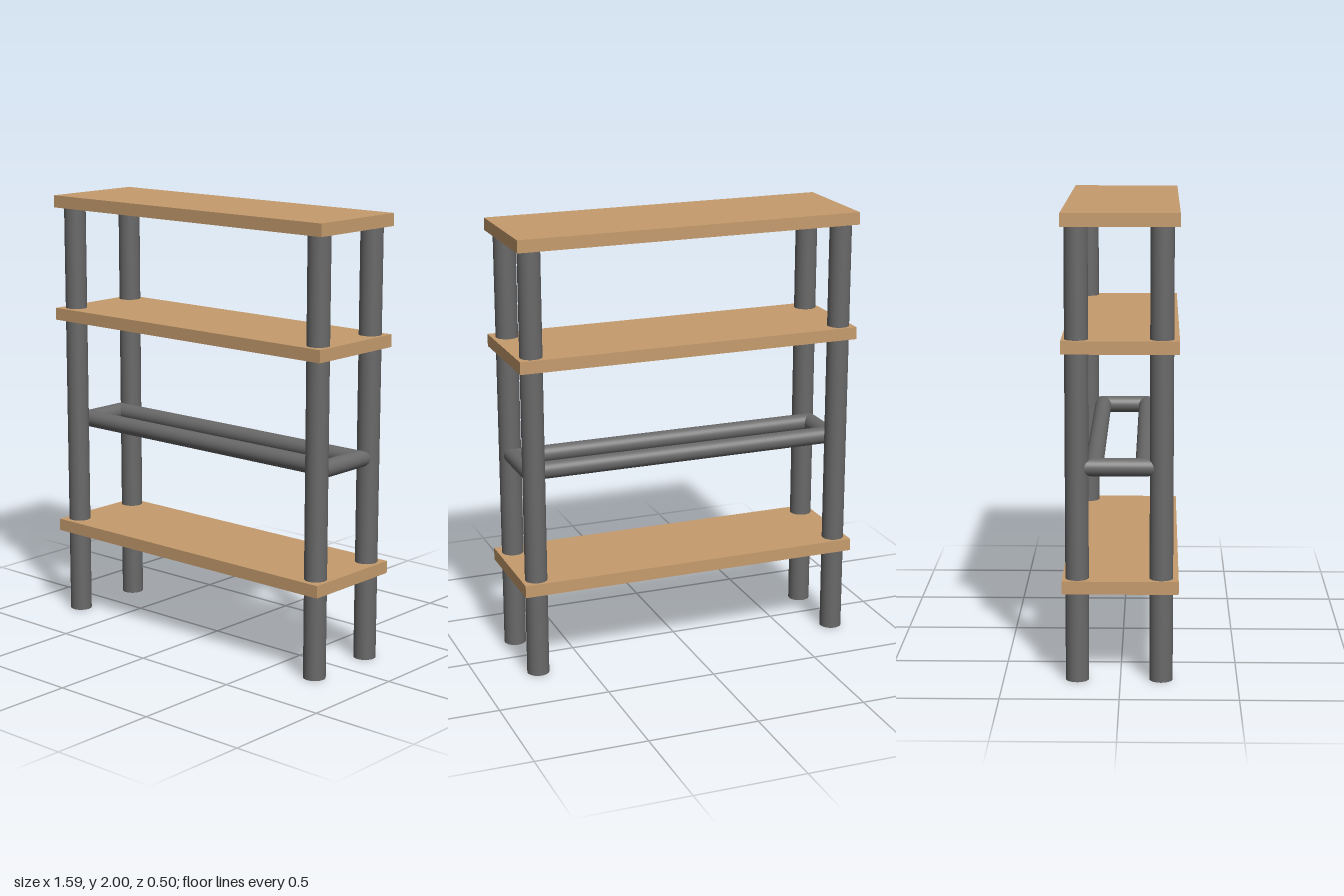
import * as THREE from 'three';

export function createModel() {
  const group = new THREE.Group();
  const wood = new THREE.MeshStandardMaterial({ name: 'wood', color: 0xc69c6d });
  const metal = new THREE.MeshStandardMaterial({ name: 'greyMetal', color: 0x696969 });

  const add = (name, geometry, material, x, y, z) => {
    const mesh = new THREE.Mesh(geometry, material);
    mesh.name = name;
    mesh.position.set(x, y, z);
    group.add(mesh);
    return mesh;
  };

  // Shelves
  const thickness = 0.056;
  const shelf = new THREE.BoxGeometry(1.586, thickness, 0.495);
  [['lowerShelf', 0.448], ['middleShelf', 1.473], ['topShelf', 2]].forEach(([name, top]) =>
    add(name, shelf, wood, 0, top - thickness / 2, 0));

  // Corner posts, running through the shelves up to the top board
  const cx = -0.003, cz = -0.005; // centre of the frame
  const halfX = 0.728, postZ = 0.179;
  const postHeight = 2 - thickness;
  const post = new THREE.CylinderGeometry(0.05, 0.05, postHeight, 32);
  for (const sx of [-1, 1]) for (const sz of [-1, 1]) {
    const name = (sz > 0 ? 'front' : 'back') + (sx > 0 ? 'Left' : 'Right') + 'Post';
    add(name, post, metal, cx + sx * halfX, postHeight / 2, cz + sz * postZ);
  }

  // Tube along x whose ends are mitred at 45 degrees, outer side facing +z
  const mitredTube = (length) => {
    const g = new THREE.CylinderGeometry(0.039, 0.039, length, 32, 1, true).rotateZ(Math.PI / 2);
    const p = g.attributes.position;
    for (let i = 0; i < p.count; i++) p.setX(i, p.getX(i) + Math.sign(p.getX(i)) * p.getZ(i));
    return g;
  };

  // Rectangular rail frame between the posts
  const railY = 0.929, railZ = 0.107;
  const longRail = mitredTube(2 * halfX);
  const sideRail = mitredTube(2 * railZ);
  add('frontRail', longRail, metal, cx, railY, cz + railZ);
  add('backRail', longRail, metal, cx, railY, cz - railZ).rotation.y = Math.PI;
  add('leftRail', sideRail, metal, cx + halfX, railY, cz).rotation.y = Math.PI / 2;
  add('rightRail', sideRail, metal, cx - halfX, railY, cz).rotation.y = -Math.PI / 2;

  return group;
}
